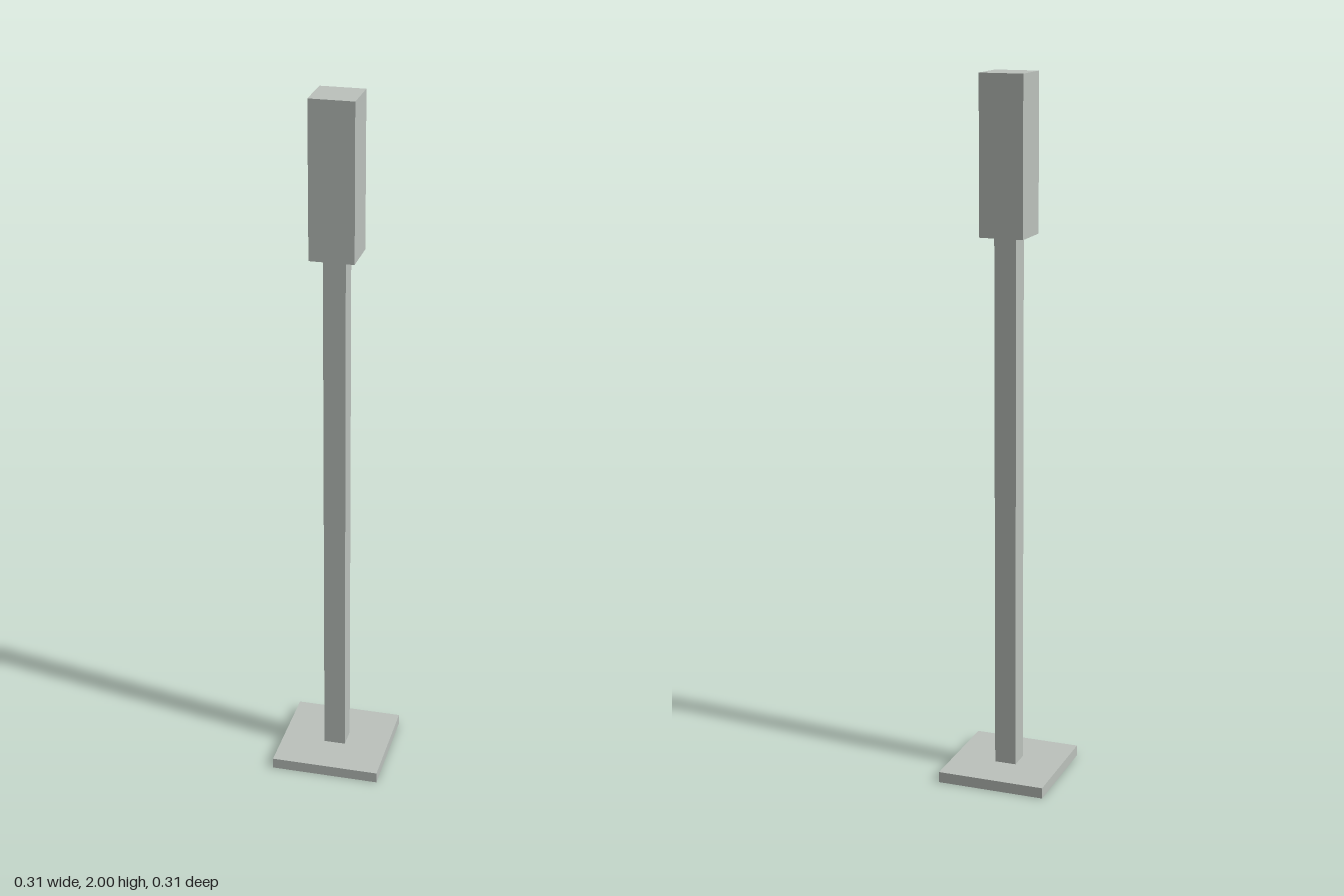
import * as THREE from 'three';

const U = 1 / 32; // modelling unit

export function createModel() {
  const group = new THREE.Group();
  group.name = 'post';
  const paleGrey = new THREE.MeshStandardMaterial({ color: 0xbcc2bd });
  paleGrey.name = 'paleGrey';

  // Square block from bottom to top, in units
  const addBlock = (name, width, bottom, top) => {
    const mesh = new THREE.Mesh(
      new THREE.BoxGeometry(width * U, (top - bottom) * U, width * U), paleGrey);
    mesh.name = name;
    mesh.position.y = (bottom + top) / 2 * U;
    group.add(mesh);
  };

  addBlock('basePlate', 10, 0, 1);
  addBlock('pole', 2, 1, 50);
  addBlock('head', 4, 50, 64);

  return group;
}
